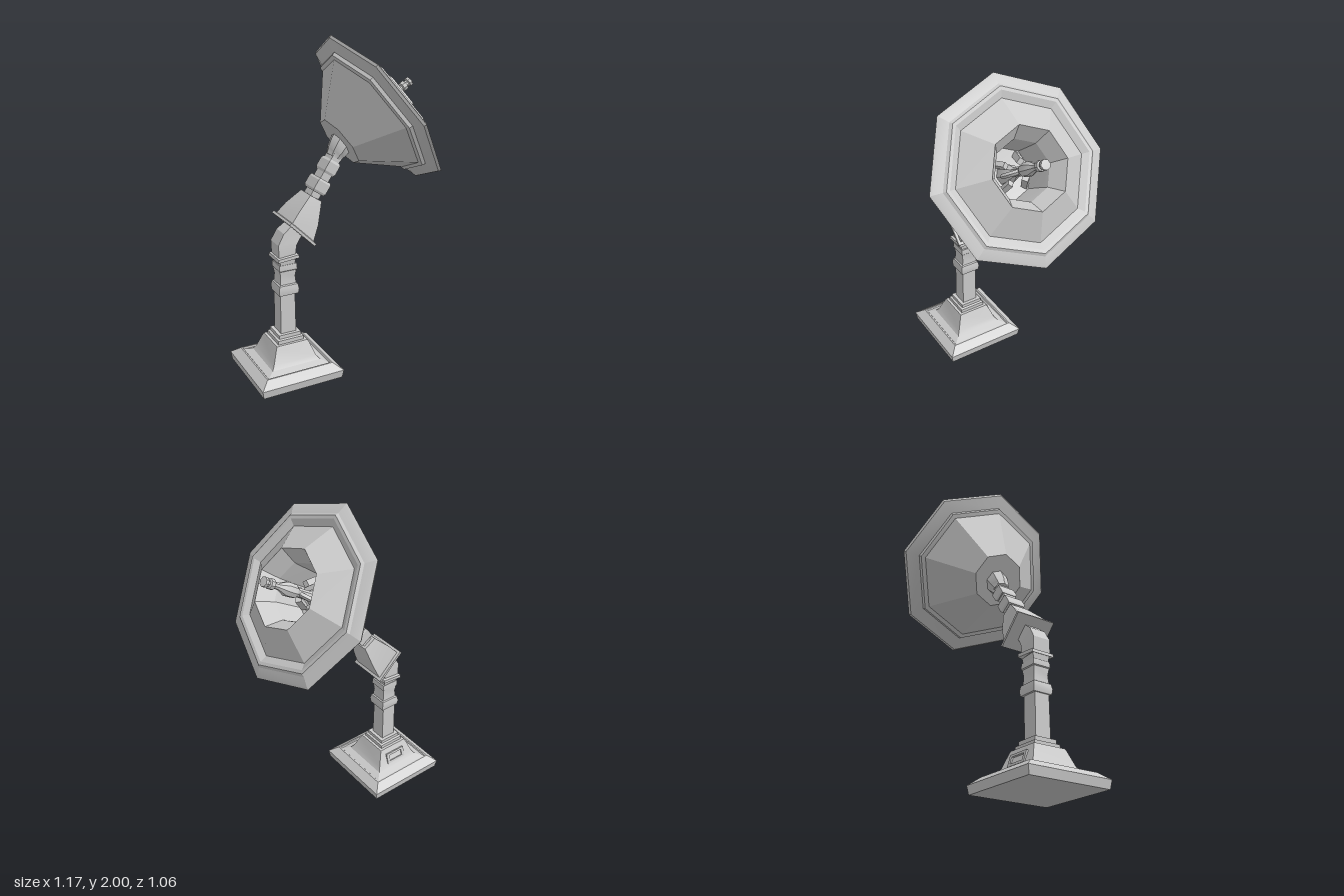
import * as THREE from 'three';
import { toCreasedNormals } from 'three/addons/utils/BufferGeometryUtils.js';

const material = new THREE.MeshStandardMaterial({ color: 0xcccccc });
const rad = THREE.MathUtils.degToRad;

function addMesh(parent, name, geometry, crease = 0.4) {
  const mesh = new THREE.Mesh(toCreasedNormals(geometry, crease), material);
  mesh.name = name;
  parent.add(mesh);
  return mesh;
}

// Profile of [radius, height] pairs turned around y.
function turned(profile, sides, start = 0) {
  return new THREE.LatheGeometry(profile.map(([r, y]) => new THREE.Vector2(r, y)), sides, start);
}

// Square tower: [half width, height] pairs.
const square = (profile) => turned(profile.map(([w, y]) => [w * Math.SQRT2, y]), 4, Math.PI / 4);

// Loft of rectangles: [x, y, axis angle in degrees, half width, half depth].
function loft(sections) {
  const pos = [], index = [];
  for (const [x, y, deg, w, d] of sections) {
    const ux = -Math.sin(rad(deg)), uy = Math.cos(rad(deg));
    for (const [s, t] of [[1, -1], [1, 1], [-1, 1], [-1, -1]]) pos.push(x + ux * w * s, y + uy * w * s, d * t);
  }
  const last = (sections.length - 1) * 4;
  for (let i = 0; i < last; i += 4) {
    for (let k = 0; k < 4; k++) {
      const a = i + k, b = i + (k + 1) % 4;
      index.push(a, b, b + 4, a, b + 4, a + 4);
    }
  }
  index.push(0, 2, 1, 0, 3, 2, last, last + 1, last + 2, last, last + 2, last + 3);
  const g = new THREE.BufferGeometry();
  g.setAttribute('position', new THREE.Float32BufferAttribute(pos, 3));
  g.setIndex(index);
  return g;
}

export function createModel() {
  const model = new THREE.Group();
  model.name = 'dishOnArm';
  const body = new THREE.Group();
  body.name = 'stand';
  body.position.z = -0.005;
  model.add(body);

  // Stepped plinth and square pillar
  const baseX = -0.327;
  addMesh(body, 'base', square([
    [0, 0], [0.255, 0], [0.263, 0.05], [0.212, 0.09], [0.203, 0.09], [0.198, 0.083],
    [0.155, 0.1], [0.137, 0.125], [0.105, 0.21], [0.1, 0.22], [0.083, 0.22], [0.083, 0.243],
    [0.07, 0.248], [0.07, 0.27], [0, 0.27],
  ])).position.x = baseX;
  addMesh(body, 'pillar', square([[0.049, 0.26], [0.047, 0.53]])).position.x = baseX;
  addMesh(body, 'pillarCollar', square([
    [0, 0.52], [0.06, 0.52], [0.064, 0.55], [0.058, 0.58], [0.05, 0.585], [0.046, 0.63],
    [0.052, 0.67], [0.057, 0.675], [0.054, 0.71], [0, 0.71],
  ])).position.x = baseX + 0.004;

  // Framed hatch on the back of the plinth
  const hatch = new THREE.Shape();
  hatch.moveTo(-0.07, -0.035).lineTo(0.07, -0.035).lineTo(0.07, 0.035).lineTo(-0.07, 0.035).closePath();
  const opening = new THREE.Path();
  opening.moveTo(-0.05, -0.02).lineTo(-0.05, 0.02).lineTo(0.05, 0.02).lineTo(0.05, -0.02).closePath();
  hatch.holes.push(opening);
  const frame = addMesh(body, 'hatchFrame', new THREE.ExtrudeGeometry(hatch, { depth: 0.025, bevelEnabled: false }));
  frame.position.set(baseX, 0.155, -0.135);
  frame.rotation.x = 0.3;

  // Bent joint between pillar and arm
  addMesh(body, 'elbow', loft([
    [-0.325, 0.7, 90, 0.045, 0.05], [-0.325, 0.74, 85, 0.05, 0.055], [-0.325, 0.742, 95, 0.067, 0.072],
    [-0.325, 0.762, 95, 0.064, 0.072], [-0.328, 0.765, 95, 0.052, 0.056],
    [-0.325, 0.83, 82, 0.058, 0.056], [-0.3, 0.872, 55, 0.055, 0.052], [-0.245, 0.925, 48, 0.042, 0.045],
  ]));

  // Flared socket
  addMesh(body, 'socket', loft([
    [-0.263, 0.902, 45, 0.109, 0.125], [-0.252, 0.913, 45, 0.109, 0.125], [-0.25, 0.917, 45, 0.093, 0.11],
    [-0.205, 0.99, 50, 0.077, 0.095], [-0.15, 1.08, 56, 0.046, 0.066], [-0.143, 1.09, 56, 0.043, 0.062],
  ]));

  // Arm with two blocks
  const ax = Math.cos(rad(56)), ay = Math.sin(rad(56));
  const along = (t, w, d) => [-0.15 + ax * t, 1.08 + ay * t, 56, w, d];
  addMesh(body, 'armRod', loft([along(0, 0.03, 0.042), along(0.3, 0.03, 0.042)]));
  for (const [t, w, d] of [[0.085, 0.044, 0.061], [0.208, 0.039, 0.055]]) {
    addMesh(body, 'armBlock', loft([
      along(t - 0.042, w - 0.006, d - 0.006), along(t - 0.028, w, d),
      along(t + 0.028, w, d), along(t + 0.042, w - 0.006, d - 0.006),
    ]));
  }
  const hub = addMesh(body, 'dishHub', turned([
    [0, 0], [0.05, 0], [0.056, 0.025], [0.062, 0.035], [0.072, 0.09], [0.072, 0.15], [0, 0.15],
  ], 8));
  hub.position.set(-0.15 + ax * 0.27, 1.08 + ay * 0.27, 0);
  hub.rotation.z = rad(56 - 90);

  // Eight-sided dish; local y is its axis
  const dish = new THREE.Group();
  dish.name = 'dish';
  dish.position.set(0.285, 1.557, 0);
  dish.rotation.z = rad(33.8 - 90);
  model.add(dish);
  const shell = turned([
    [0, -0.298], [0.165, -0.298], [0.405, -0.06], [0.432, -0.055], [0.438, -0.035], [0.52, -0.014],
    [0.53, 0], [0.515, 0.008], [0.465, 0.024], [0.45, 0.036], [0.43, 0.034], [0.39, 0.014],
    [0.23, 0.12], [0.17, 0.03], [0.165, 0.0], [0.15, -0.15], [0, -0.17],
  ], 8);
  shell.rotateY(-0.035);
  addMesh(dish, 'dishShell', shell, 0.25);

  // Feed on the axis with its supports
  addMesh(dish, 'feed', turned([
    [0.06, -0.17], [0.05, -0.1], [0.028, -0.06], [0.026, 0.03], [0.038, 0.05], [0.04, 0.11], [0.024, 0.15],
    [0.019, 0.165], [0.019, 0.2], [0.03, 0.205], [0.03, 0.23], [0.02, 0.234], [0.02, 0.245],
    [0.028, 0.25], [0.028, 0.268], [0, 0.27],
  ], 8));
  const arch = addMesh(dish, 'feedArch', new THREE.TorusGeometry(0.08, 0.014, 4, 10, Math.PI));
  arch.position.y = -0.06;
  arch.rotation.y = Math.PI / 2;
  for (let i = 0; i < 4; i++) {
    const prong = new THREE.Group();
    prong.name = 'feedProng';
    prong.rotation.y = Math.PI / 4 + i * Math.PI / 2;
    const fin = addMesh(prong, 'fin', new THREE.BoxGeometry(0.035, 0.12, 0.03));
    fin.position.set(0.095, -0.1, 0);
    fin.rotation.z = 0.5;
    dish.add(prong);
  }
  return model;
}
